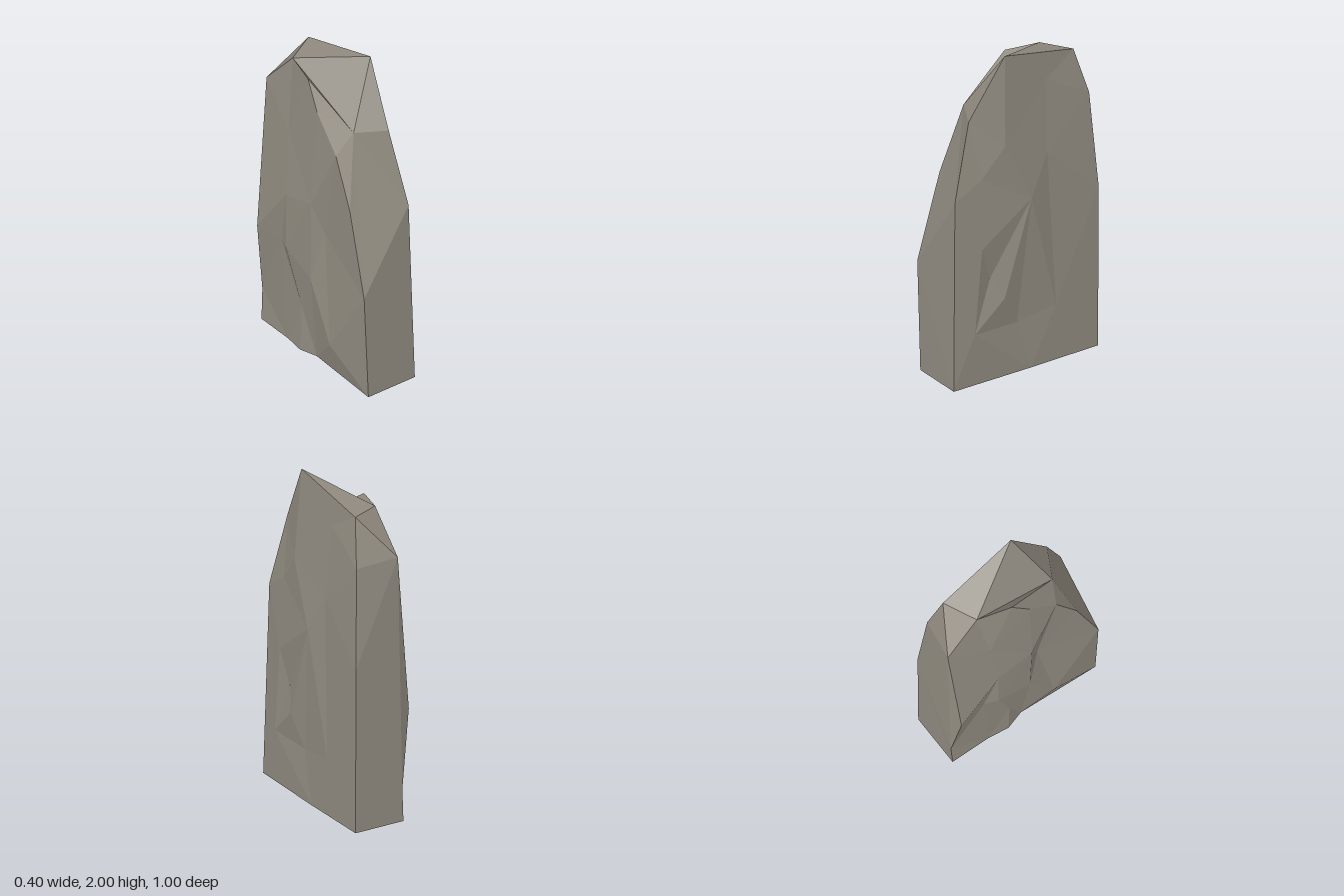
import * as THREE from 'three';

const V = (x, y, z) => new THREE.Vector3(x, y, z);

// Chipped broad face (+x): outline corners, then chips and crack
const chipped = {
  R0: V(0.18, 0, 0.5), R1: V(0.155, 1.17, 0.475), R2: V(0.11, 1.63, 0.35),
  R3: V(0.15, 2, 0.13), R4: V(0.1, 1.88, -0.375), R5: V(0.14, 1.6, -0.455),
  R6: V(0.17, 1, -0.5), R7: V(0.17, 0, -0.495), R8: V(0.18, 0, -0.03),
  A: V(0.165, 1.27, 0.3), B: V(0.185, 1.45, 0.15), C: V(0.165, 1.32, -0.15),
  D: V(0.13, 1.76, -0.17), E: V(0.2, 1.08, -0.02), F: V(0.185, 0.84, 0.31),
  G: V(0.188, 0.32, 0.36), H: V(0.2, 0.5, 0.165), I: V(0.17, 0.31, 0.06),
  J: V(0.18, 0.35, -0.2), K: V(0.16, 0.63, 0.24),
};

// Grooved broad face (-x): outline corners, then raised panel, groove and ridge
const grooved = {
  L0: V(-0.15, 0, 0.5), L1: V(-0.18, 0.68, 0.5), L2: V(-0.07, 1.64, 0.26),
  L3: V(-0.14, 1.86, -0.07), L4: V(-0.09, 1.87, -0.275), L5: V(-0.11, 1.63, -0.49),
  L6: V(-0.14, 0.2, -0.49), L7: V(-0.15, 0, -0.485), L8: V(-0.15, 0, -0.24),
  L9: V(-0.165, 0, -0.11), L10: V(-0.13, 0, 0),
  backBulge: V(-0.2, 0.67, -0.46), frontEdge: V(-0.17, 1.2, 0.355),
  ridgeTop: V(-0.165, 1.5, 0.22), ridgeFoot: V(-0.185, 0.2, 0.19),
  grooveTop: V(-0.16, 1.7, 0.04), grooveMiddle: V(-0.15, 0.9, 0.1),
  hollow: V(-0.16, 0.3, -0.1), slit: V(-0.155, 1.42, -0.23), slitFoot: V(-0.165, 0.66, -0.28),
  panelA: V(-0.195, 1.02, -0.2), panelB: V(-0.195, 0.66, -0.2),
  panelC: V(-0.195, 1.08, 0.03), panelD: V(-0.19, 0.56, 0.02),
};

// Narrow faces joining the two outlines
const corners = { ...chipped, ...grooved };
const facets = (text) => text.split(', ').map((t) => t.split(' ').map((n) => corners[n]));
const front = facets('R0 R1 L1, R0 L1 L0, L1 R1 L2, R1 R2 L2, L2 R2 R3');
const top = facets('L2 R3 L4, L2 L4 L3, R3 R4 L4');
const back = facets('R4 L4 L5, R4 R5 L5, R5 R6 L5, R6 L5 L6, R6 L6 L7, R6 R7 L7');
const base = facets('R8 R7 L7, R8 L7 L8, R8 L8 L9, R8 L9 L10, R8 L10 L0, R8 L0 R0');

// Delaunay facets of a broad face; heights are halved so facets run upright
function broadFace(face) {
  const pts = Object.values(face);
  const flat = pts.map((p) => new THREE.Vector2(p.z, p.y / 2));
  const found = [];
  for (let i = 0; i < pts.length; i++) {
    for (let j = i + 1; j < pts.length; j++) {
      for (let k = j + 1; k < pts.length; k++) {
        const u = flat[j].clone().sub(flat[i]);
        const v = flat[k].clone().sub(flat[i]);
        const d = 2 * u.cross(v);
        if (Math.abs(d) < 1e-7) continue;
        const uu = u.lengthSq(), vv = v.lengthSq();
        const centre = new THREE.Vector2((v.y * uu - u.y * vv) / d, (u.x * vv - v.x * uu) / d);
        const radius = centre.length();
        centre.add(flat[i]);
        const empty = flat.every((p) => p.distanceTo(centre) > radius - 1e-7);
        if (empty) found.push([pts[i], pts[j], pts[k]]);
      }
    }
  }
  return found;
}

// Builds flat facets, turning each one to face outward
function facetGeometry(triangles, outward) {
  const ordered = triangles.flatMap(([a, b, c]) => {
    const normal = b.clone().sub(a).cross(c.clone().sub(a));
    const centre = a.clone().add(b).add(c).divideScalar(3);
    return normal.dot(outward(centre)) >= 0 ? [a, b, c] : [a, c, b];
  });
  const geometry = new THREE.BufferGeometry().setFromPoints(ordered);
  geometry.computeVertexNormals();
  return geometry;
}

export function createModel() {
  const group = new THREE.Group();
  group.name = 'standingStone';
  const stone = new THREE.MeshStandardMaterial({ color: 0x918b80, flatShading: true });
  stone.name = 'warm grey stone';

  const middle = V(0, 0.9, 0);
  const fromMiddle = (centre) => centre.clone().sub(middle);
  const parts = [
    ['chippedLeftFace', broadFace(chipped), () => V(1, 0, 0)],
    ['groovedRightFace', broadFace(grooved), () => V(-1, 0, 0)],
    ['frontFace', front, fromMiddle],
    ['topFace', top, fromMiddle],
    ['backFace', back, fromMiddle],
    ['underside', base, () => V(0, -1, 0)],
  ];
  for (const [name, triangles, outward] of parts) {
    const mesh = new THREE.Mesh(facetGeometry(triangles, outward), stone);
    mesh.name = name;
    group.add(mesh);
  }
  return group;
}
